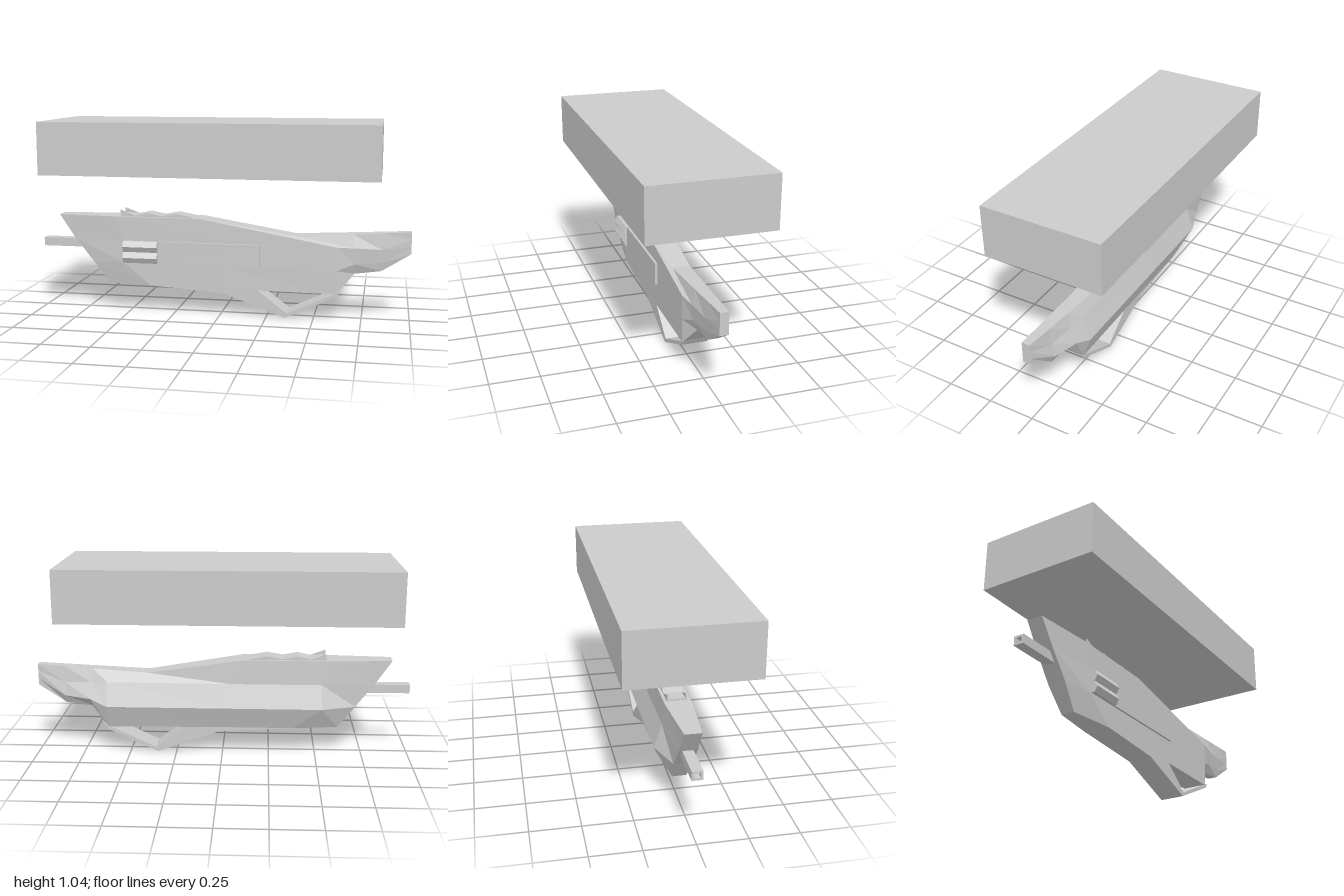
import * as THREE from 'three';

const material = new THREE.MeshStandardMaterial({ color: 0xcccccc, flatShading: true, side: THREE.DoubleSide });

function add(group, name, geometry, x = 0, y = 0, z = 0) {
  const mesh = new THREE.Mesh(geometry, material);
  mesh.name = name;
  mesh.position.set(x, y, z);
  group.add(mesh);
  return mesh;
}

// Side profile in x/y, extruded from z0 to z1
function slab(points, z0, z1) {
  const shape = new THREE.Shape(points.map(([x, y]) => new THREE.Vector2(x, y)));
  const geometry = new THREE.ExtrudeGeometry(shape, { depth: z1 - z0, bevelEnabled: false });
  return geometry.translate(0, 0, z0);
}

// Skin a closed hull over rings of equal length, ordered along +x
function loft(rings) {
  const n = rings[0].length;
  const index = [];
  for (let i = 0; i < rings.length - 1; i++) {
    for (let j = 0; j < n; j++) {
      const a = i * n + j, b = i * n + (j + 1) % n;
      index.push(a, b, b + n, a, b + n, a + n);
    }
  }
  const last = (rings.length - 1) * n;
  for (let j = 0; j < n / 2 - 1; j++) {
    const k = n - 1 - j;
    index.push(j + 1, j, k, j + 1, k, k - 1);
    index.push(last + j, last + j + 1, last + k, last + j + 1, last + k - 1, last + k);
  }
  const geometry = new THREE.BufferGeometry();
  geometry.setAttribute('position', new THREE.Float32BufferAttribute(rings.flat(2), 3));
  geometry.setIndex(index);
  const flat = geometry.toNonIndexed();
  flat.computeVertexNormals();
  return flat;
}

// Station rows, top to bottom: [x, y, front z, back z, optional back x]
const stations = [
  [[-0.9, 0.52, 0.042, -0.042], [-0.81, 0.39, 0.045, -0.045], [-0.71, 0.265, 0.045, -0.05], [-0.62, 0.145, 0.035, -0.035]],
  [[-0.58, 0.52, 0.068, -0.065], [-0.53, 0.39, 0.068, -0.07], [-0.53, 0.265, 0.068, -0.11], [-0.38, 0.145, 0.068, -0.065]],
  [[-0.11, 0.52, 0.068, -0.065], [0.2, 0.39, 0.068, -0.07, -0.04], [0.0, 0.265, 0.068, -0.11], [0.02, 0.145, 0.068, -0.065]],
  [[0.4, 0.44, 0.045, -0.045], [0.62, 0.39, 0.068, -0.066], [0.62, 0.265, 0.068, -0.11], [0.62, 0.14, 0.066, -0.065]],
  [[0.7, 0.457, 0.034, -0.034], [0.71, 0.386, 0.052, -0.054], [0.71, 0.3, 0.045, -0.087], [0.71, 0.245, 0.022, -0.022]],
  [[0.85, 0.466, 0.028, -0.028], [0.85, 0.38, 0.036, -0.04], [0.85, 0.31, 0.03, -0.055], [0.85, 0.265, 0.022, -0.03]],
  [[1, 0.475, 0.022, -0.022], [1, 0.435, 0.022, -0.022], [1, 0.395, 0.022, -0.022], [1, 0.36, 0.022, -0.022]],
];

export function createModel() {
  const model = new THREE.Group();
  model.name = 'model';

  // Large plain block floating above
  add(model, 'upperBlock', new THREE.BoxGeometry(1.75, 0.275, 0.64), -0.035, 0.9025, 0);

  // Faceted body with a ridge along the back side
  const rings = stations.map((rows) => [
    ...rows.map(([x, y, front]) => [x, y, front]),
    ...rows.slice().reverse().map(([x, y, , back, backX = x]) => [backX, y, back]),
  ]);
  add(model, 'body', loft(rings));

  // Underside keel and open triangular guard
  add(model, 'triggerGuard', slab([
    [-0.38, 0.146], [0.02, 0.12], [0.35, 0], [0.62, 0.125],
    [0.64, 0.155], [0.62, 0.145], [0.36, 0.025], [0.2, 0.146],
  ], -0.065, 0.068));

  // Square hollow barrel
  const bore = new THREE.Shape([[-1, -1], [1, -1], [1, 1], [-1, 1]]
    .map(([u, v]) => new THREE.Vector2(u * 0.027, v * 0.023)));
  bore.holes.push(new THREE.Path([[-1, -1], [-1, 1], [1, 1], [1, -1]]
    .map(([u, v]) => new THREE.Vector2(u * 0.015, v * 0.012))));
  const barrel = new THREE.ExtrudeGeometry(bore, { depth: 0.28, bevelEnabled: false });
  add(model, 'barrel', barrel.rotateY(Math.PI / 2), -1, 0.362, -0.002);

  // Side cover with two six-sided tubes showing at its forward end
  add(model, 'sideCover', slab([[-0.34, 0.27], [0.215, 0.27], [0.215, 0.39], [-0.34, 0.39]], 0.06, 0.08));
  for (const y of [0.3, 0.36]) {
    const tube = new THREE.CylinderGeometry(0.034, 0.034, 0.19, 6).rotateZ(Math.PI / 2);
    add(model, 'sideTube', tube, -0.435, y, 0.069);
  }

  // Wavy top rail with a raised fin at each front corner
  add(model, 'topRail', slab([
    [-0.55, 0.51], [-0.1, 0.51], [-0.16, 0.525], [-0.24, 0.54],
    [-0.32, 0.525], [-0.4, 0.54], [-0.47, 0.525], [-0.55, 0.53],
  ], -0.05, 0.05));
  for (const side of [-1, 1]) {
    const z = side * 0.046;
    add(model, 'railFin', slab([[-0.55, 0.52], [-0.47, 0.525], [-0.55, 0.555]], z - 0.004, z + 0.004));
  }

  return model;
}
